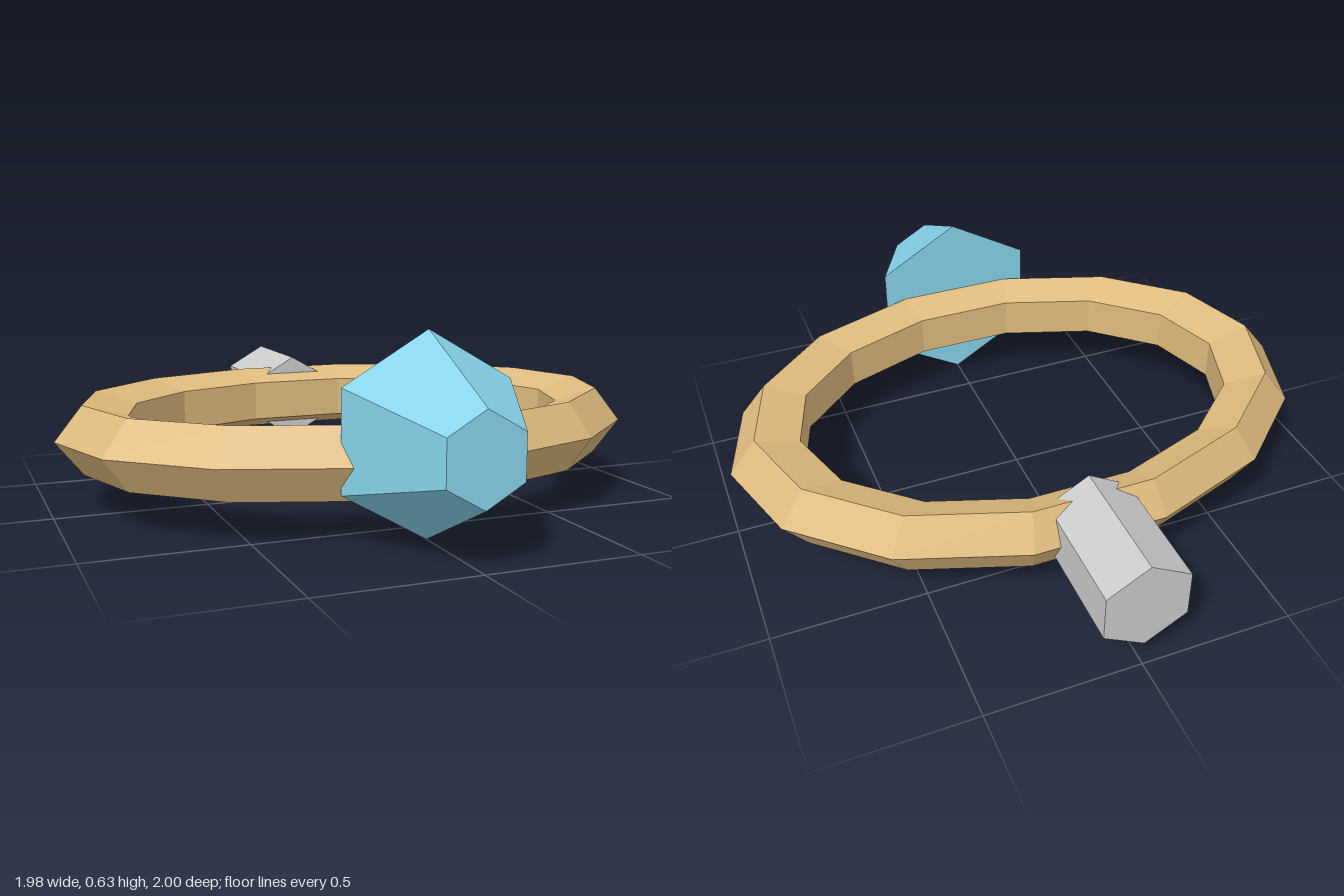
import * as THREE from 'three';

const material = (color) => new THREE.MeshStandardMaterial({ color, flatShading: true });

// Hexagonal prism or frustum lying along z, with a corner pointing up
function hexAlongZ(name, frontRadius, backRadius, zFront, zBack, y, color) {
  const geometry = new THREE.CylinderGeometry(frontRadius, backRadius, zFront - zBack, 6);
  geometry.rotateX(Math.PI / 2);
  const mesh = new THREE.Mesh(geometry, material(color));
  mesh.name = name;
  mesh.position.set(0, y, (zFront + zBack) / 2);
  return mesh;
}

export function createModel() {
  const model = new THREE.Group();
  model.name = 'ringWithGem';

  // Oval band: pentagonal section, fourteen segments
  const bandGeometry = new THREE.TorusGeometry(0.859, 0.13, 5, 14);
  bandGeometry.rotateX(Math.PI / 2);
  bandGeometry.scale(1, 0.91, 0.722);
  const band = new THREE.Mesh(bandGeometry, material(0xdfbb7e));
  band.name = 'band';
  band.position.y = 0.247;
  model.add(band);

  // Tapered gem at the front, plain clasp at the back
  model.add(hexAlongZ('gem', 0.138, 0.313, 1, 0.637, 0.314, 0x87d3ea));
  model.add(hexAlongZ('clasp', 0.155, 0.155, -0.588, -1, 0.246, 0xcccccc));

  return model;
}
